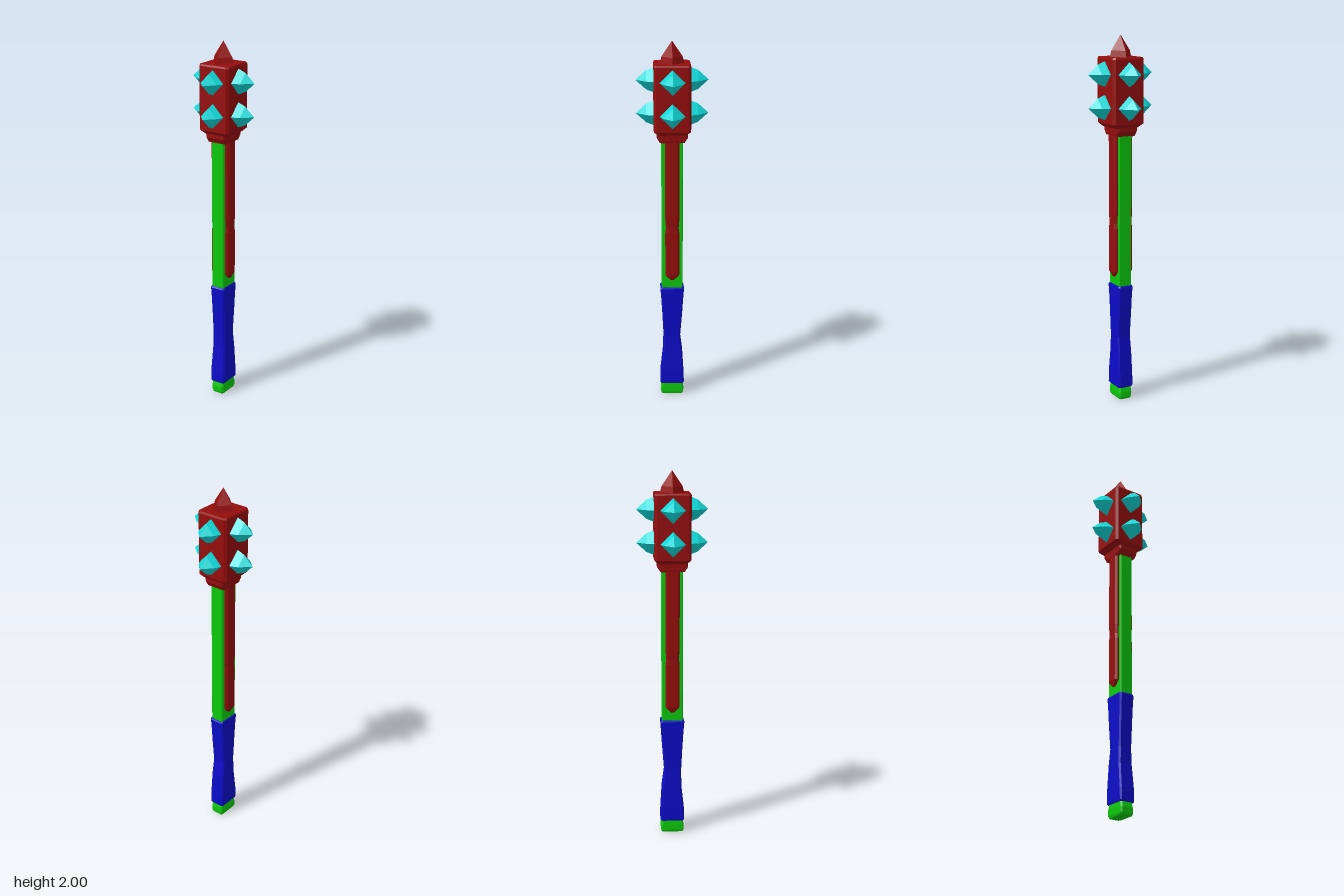
import * as THREE from 'three';

const paint = (color) => new THREE.MeshStandardMaterial({ color, flatShading: true });
const RED = paint(0x960d0d), GREEN = paint(0x0cc80c), BLUE = paint(0x0c0cc8), CYAN = paint(0x10d8d8);

// Stacks horizontal rings of points [x, z] at given heights and caps both ends
function loft(rings) {
  const n = rings[0].points.length, pos = [], idx = [];
  rings.forEach(({ y, points }) => points.forEach(([x, z]) => pos.push(x, y, z)));
  for (let r = 0; r < rings.length - 1; r++) {
    for (let i = 0; i < n; i++) {
      const a = r * n + i, b = r * n + (i + 1) % n;
      idx.push(a, a + n, b, b, a + n, b + n);
    }
  }
  const top = (rings.length - 1) * n;
  for (let i = 1; i < n - 1; i++) idx.push(0, i, i + 1, top, top + i + 1, top + i);
  const geo = new THREE.BufferGeometry();
  geo.setAttribute('position', new THREE.Float32BufferAttribute(pos, 3));
  geo.setIndex(idx);
  const flat = geo.toNonIndexed();
  flat.computeVertexNormals();
  return flat;
}

// Bevelled rectangular bar from sections [y, half width, half depth, bevel, z shift]
function bar(sections) {
  return loft(sections.map(([y, w, d, c = 0.008, s = 0]) => ({
    y,
    points: [[w, c - d], [w, d - c], [w - c, d], [c - w, d], [-w, d - c], [-w, c - d], [c - w, -d], [w - c, -d]]
      .map(([x, z]) => [x, z + s]),
  })));
}

// Diamond-section spike from sections [height, half width]
function spike(sections) {
  return loft(sections.map(([y, r]) => ({ y, points: [[r, 0], [0, r], [-r, 0], [0, -r]] })));
}

export function createModel() {
  const model = new THREE.Group();
  const add = (name, geo, material, parent = model) => {
    const mesh = new THREE.Mesh(geo, material);
    mesh.name = name;
    parent.add(mesh);
    return mesh;
  };

  // Handle
  add('pommel', bar([[0, 0.034, 0.058], [0.012, 0.038, 0.063], [0.04, 0.038, 0.063], [0.08, 0.035, 0.054]]), GREEN);
  add('grip', bar([
    [0.068, 0.041, 0.062], [0.075, 0.044, 0.066], [0.14, 0.044, 0.064], [0.27, 0.041, 0.053, 0.008, -0.003],
    [0.36, 0.039, 0.046, 0.008, 0.002], [0.5, 0.041, 0.055], [0.58, 0.042, 0.06],
    [0.645, 0.044, 0.065], [0.653, 0.041, 0.06],
  ]), BLUE);
  add('shaft', bar([[0.64, 0.037, 0.057, 0.004], [1.5, 0.037, 0.057, 0.004]]), GREEN);

  // Reinforcing strips down both sides, pointed at the lower end
  for (const side of [1, -1]) {
    const strip = add('sideStrip', bar([
      [0.7, 0.012, 0.01, 0.005], [0.73, 0.022, 0.038, 0.01], [0.97, 0.022, 0.038, 0.01],
      [1.0, 0.02, 0.034, 0.01], [1.05, 0.022, 0.038, 0.01], [1.5, 0.022, 0.038, 0.01],
    ]), RED);
    strip.position.x = side * 0.034;
  }

  // Head
  add('collar', bar([
    [1.475, 0.055, 0.066], [1.485, 0.058, 0.07], [1.5, 0.058, 0.081], [1.525, 0.06, 0.081], [1.55, 0.066, 0.076],
  ]), RED);
  add('head', bar([
    [1.52, 0.072, 0.078, 0.015], [1.54, 0.092, 0.097, 0.013], [1.878, 0.092, 0.097, 0.013], [1.887, 0.088, 0.093, 0.013],
  ]), RED);
  const topSpike = add('topSpike', spike([[0, 0.064], [0.035, 0.055], [0.115, 0.001]]), RED);
  topSpike.position.y = 1.885;

  // Two rows of spikes, one on each face
  const studs = new THREE.Group();
  studs.name = 'spikes';
  model.add(studs);
  const geo = spike([[0.085, 0.068], [0.1, 0.064], [0.135, 0.05], [0.189, 0.001]]);
  for (const y of [1.625, 1.8]) {
    for (let i = 0; i < 4; i++) {
      const stud = add('spike', geo, CYAN, studs);
      stud.rotation.set(Math.PI / 2, i * Math.PI / 2, 0, 'YXZ');
      stud.position.y = y;
    }
  }
  return model;
}
